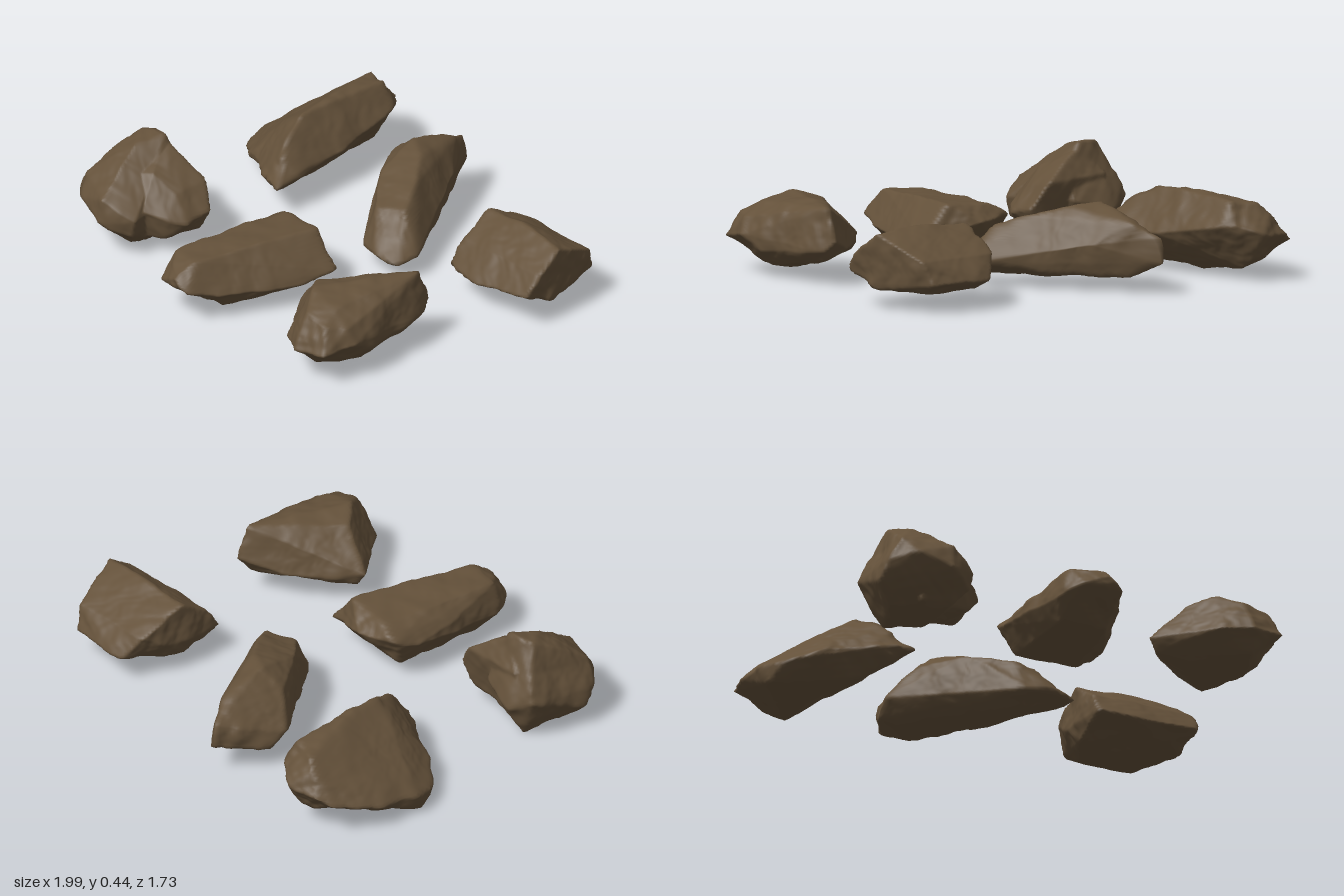
import * as THREE from 'three';
import { mergeVertices } from 'three/addons/utils/BufferGeometryUtils.js';
import { ConvexGeometry } from 'three/addons/geometries/ConvexGeometry.js';

const stone = new THREE.MeshStandardMaterial({ color: 0x64513a });
stone.name = 'brown stone';

// Each rock is one or more hulls of corner points [x, y, z]
const rocks = {
  backRightLongRock: [[
    [-0.93, 0.16, -0.8], [-0.87, 0.2, -0.85], [-0.75, 0.2, -0.87], [-0.62, 0.25, -0.82], [-0.57, 0.24, -0.74],
    [-0.5, 0.18, -0.42], [-0.47, 0.18, -0.18], [-0.45, 0.14, -0.04], [-0.53, 0.15, -0.04], [-0.8, 0.13, -0.18],
    [-0.94, 0.08, -0.26], [-1, 0.1, -0.4], [-0.98, 0.12, -0.6],
    [-0.76, 0.34, -0.78], [-0.64, 0.35, -0.76], [-0.66, 0.36, -0.5], [-0.6, 0.36, -0.28], [-0.54, 0.28, -0.15],
    [-0.97, 0.01, -0.36], [-0.7, 0.06, -0.75], [-0.6, 0.05, -0.2], [-0.75, 0, -0.4],
  ]],
  backMiddleSlabRock: [[
    [-0.2, 0.24, -0.84], [-0.2, 0.13, -0.85], [-0.33, 0.15, -0.55], [-0.32, 0.09, -0.62], [-0.25, 0.14, -0.72],
    [-0.3, 0.18, -0.56], [-0.22, 0.28, -0.48], [-0.12, 0.29, -0.72], [-0.13, 0.36, -0.52],
    [0, 0.34, -0.45], [0.12, 0.3, -0.33], [0.2, 0.25, -0.22], [-0.07, 0.29, -0.29], [0.08, 0.24, -0.15],
    [0, 0.2, -0.62], [0.16, 0.15, -0.41], [0.32, 0.1, -0.2], [0.32, 0.08, -0.08],
    [0.2, 0.1, -0.05], [0.1, 0.08, -0.06], [-0.05, 0.12, -0.25], [-0.2, 0.17, -0.43],
    [-0.25, 0.06, -0.6], [-0.12, 0.06, -0.72], [0.1, 0.04, -0.2], [0.22, 0.05, -0.2], [0.05, 0.06, -0.5],
  ]],
  backLeftWedgeRock: [[
    [0.49, 0.32, -0.42], [0.7, 0.34, -0.43], [0.97, 0.32, -0.42], [0.5, 0.22, -0.63], [0.89, 0.22, -0.64],
    [0.57, 0.12, -0.69], [0.7, 0.13, -0.7], [0.87, 0.12, -0.69], [0.48, 0.13, -0.2], [0.7, 0.12, -0.19],
    [0.49, 0.23, -0.27], [0.97, 0.24, -0.3],
    [0.98, 0.15, -0.23], [0.99, 0.25, -0.32], [0.97, 0.1, -0.35], [0.48, 0.15, -0.5],
    [0.5, 0.07, -0.4], [0.95, 0.08, -0.4], [0.6, 0.08, -0.62], [0.85, 0.08, -0.62], [0.7, 0.05, -0.42],
  ]],
  frontRightPeakRock: [[
    [-0.76, 0.44, 0.36], [-0.81, 0.43, 0.39], [-0.69, 0.43, 0.36], [-0.73, 0.4, 0.5],
    [-0.66, 0.25, 0.72], [-0.67, 0.15, 0.74], [-0.82, 0.2, 0.72], [-0.87, 0.28, 0.65], [-0.92, 0.17, 0.64],
    [-0.93, 0.1, 0.58], [-0.91, 0.2, 0.3], [-0.8, 0.15, 0.26], [-0.62, 0.2, 0.3], [-0.53, 0.18, 0.65], [-0.55, 0.1, 0.65],
    [-0.85, 0.03, 0.5], [-0.65, 0.01, 0.4], [-0.62, 0.03, 0.6], [-0.8, 0, 0.35],
  ], [
    [-0.42, 0.18, 0.33], [-0.41, 0.15, 0.46], [-0.5, 0.28, 0.31], [-0.5, 0.26, 0.46], [-0.46, 0.17, 0.53],
    [-0.48, 0.08, 0.35], [-0.5, 0.08, 0.52], [-0.7, 0.41, 0.36], [-0.62, 0.37, 0.35], [-0.6, 0.33, 0.5],
    [-0.8, 0.3, 0.3], [-0.75, 0.3, 0.6], [-0.55, 0.2, 0.6], [-0.75, 0.02, 0.36], [-0.75, 0.04, 0.6],
    [-0.6, 0.03, 0.45],
  ]],
  frontMiddleLongRock: [[
    [0, 0.2, 0.86], [-0.1, 0.15, 0.82], [0.07, 0.15, 0.83], [-0.16, 0.12, 0.72], [0.12, 0.12, 0.7],
    [-0.17, 0.2, 0.5], [0.14, 0.13, 0.52], [-0.2, 0.17, 0.27], [-0.17, 0.21, 0.18], [0, 0.2, 0.12],
    [0.25, 0.13, 0.19], [0.22, 0.1, 0.35],
    [-0.12, 0.25, 0.74], [0.03, 0.26, 0.74], [-0.11, 0.26, 0.4], [0.1, 0.28, 0.35], [0.13, 0.28, 0.2], [-0.08, 0.26, 0.2],
    [-0.12, 0.05, 0.65], [0.08, 0.05, 0.65], [-0.12, 0.06, 0.25], [0.15, 0.06, 0.25], [0, 0.03, 0.45],
  ]],
  frontLeftPointedRock: [[
    [0.77, 0.2, 0.12], [0.77, 0.34, 0.17], [0.8, 0.15, 0.16], [0.72, 0.33, 0.4], [0.62, 0.34, 0.6],
    [0.53, 0.31, 0.52], [0.78, 0.31, 0.62], [0.7, 0.29, 0.7], [0.85, 0.2, 0.4], [0.9, 0.18, 0.6],
    [0.87, 0.25, 0.62], [0.82, 0.26, 0.7], [0.87, 0.12, 0.49],
    [0.86, 0.15, 0.74], [0.72, 0.14, 0.79], [0.6, 0.14, 0.72], [0.5, 0.12, 0.6],
    [0.38, 0.15, 0.48], [0.42, 0.09, 0.47], [0.45, 0.2, 0.45], [0.45, 0.13, 0.41], [0.6, 0.13, 0.26],
    [0.7, 0.04, 0.45], [0.55, 0.06, 0.5], [0.75, 0.06, 0.68], [0.77, 0.1, 0.2], [0.8, 0.05, 0.5],
  ]],
};

// Layered waves give the lumpy, weathered surface
function roughness(p, seed) {
  let sum = 0;
  for (let i = 0, f = 14, a = 0.035; i < 4; i++, f *= 1.9, a *= 0.52) {
    const s = seed * 3.7 + i * 2.3;
    sum += a * Math.sin(f * p.x + s + 1.5 * Math.sin(f * 0.7 * p.z + s))
             * Math.cos(f * p.z - s + 1.5 * Math.sin(f * 0.8 * p.y + f * 0.3 * p.x));
  }
  return sum;
}

// Face planes of a hull
function hullPlanes(points) {
  const pos = new ConvexGeometry(points).attributes.position;
  const corner = (i) => new THREE.Vector3().fromBufferAttribute(pos, i);
  const planes = [];
  for (let i = 0; i < pos.count; i += 3) {
    planes.push(new THREE.Plane().setFromCoplanarPoints(corner(i), corner(i + 1), corner(i + 2)));
  }
  return planes;
}

// Shrink a sphere's vertices onto the hulls, roughen them and keep the hulls' bounds
function rockGeometry(hulls, seed) {
  const sets = hulls.map((h) => h.map((c) => new THREE.Vector3(...c)));
  const box = new THREE.Box3().setFromPoints(sets.flat());
  const centre = box.getCenter(new THREE.Vector3());
  const size = box.getSize(new THREE.Vector3());
  const planeSets = sets.map(hullPlanes);

  let geo = new THREE.IcosahedronGeometry(1, 24);
  geo.deleteAttribute('normal');
  geo.deleteAttribute('uv');
  geo = mergeVertices(geo, 1e-4);
  const pos = geo.attributes.position;
  const d = new THREE.Vector3();
  for (let i = 0; i < pos.count; i++) {
    d.fromBufferAttribute(pos, i).multiply(size);
    let reach = 0;
    for (const planes of planeSets) {
      let t = Infinity;
      for (const pl of planes) {
        const along = pl.normal.dot(d);
        if (along > 1e-6) t = Math.min(t, -pl.distanceToPoint(centre) / along);
      }
      reach = Math.max(reach, t);
    }
    d.multiplyScalar(reach);
    d.multiplyScalar(1 + roughness(d, seed));
    pos.setXYZ(i, d.x, d.y, d.z);
  }
  geo.computeBoundingBox();
  const made = geo.boundingBox.getSize(new THREE.Vector3());
  const mid = geo.boundingBox.getCenter(new THREE.Vector3());
  geo.translate(-mid.x, -mid.y, -mid.z);
  geo.scale(size.x / made.x, size.y / made.y, size.z / made.z);
  geo.translate(centre.x, centre.y, centre.z);
  geo.computeVertexNormals();
  return geo;
}

export function createModel() {
  const group = new THREE.Group();
  group.name = 'rocks';
  Object.entries(rocks).forEach(([name, hulls], i) => {
    const mesh = new THREE.Mesh(rockGeometry(hulls, i + 1), stone);
    mesh.name = name;
    group.add(mesh);
  });
  return group;
}
